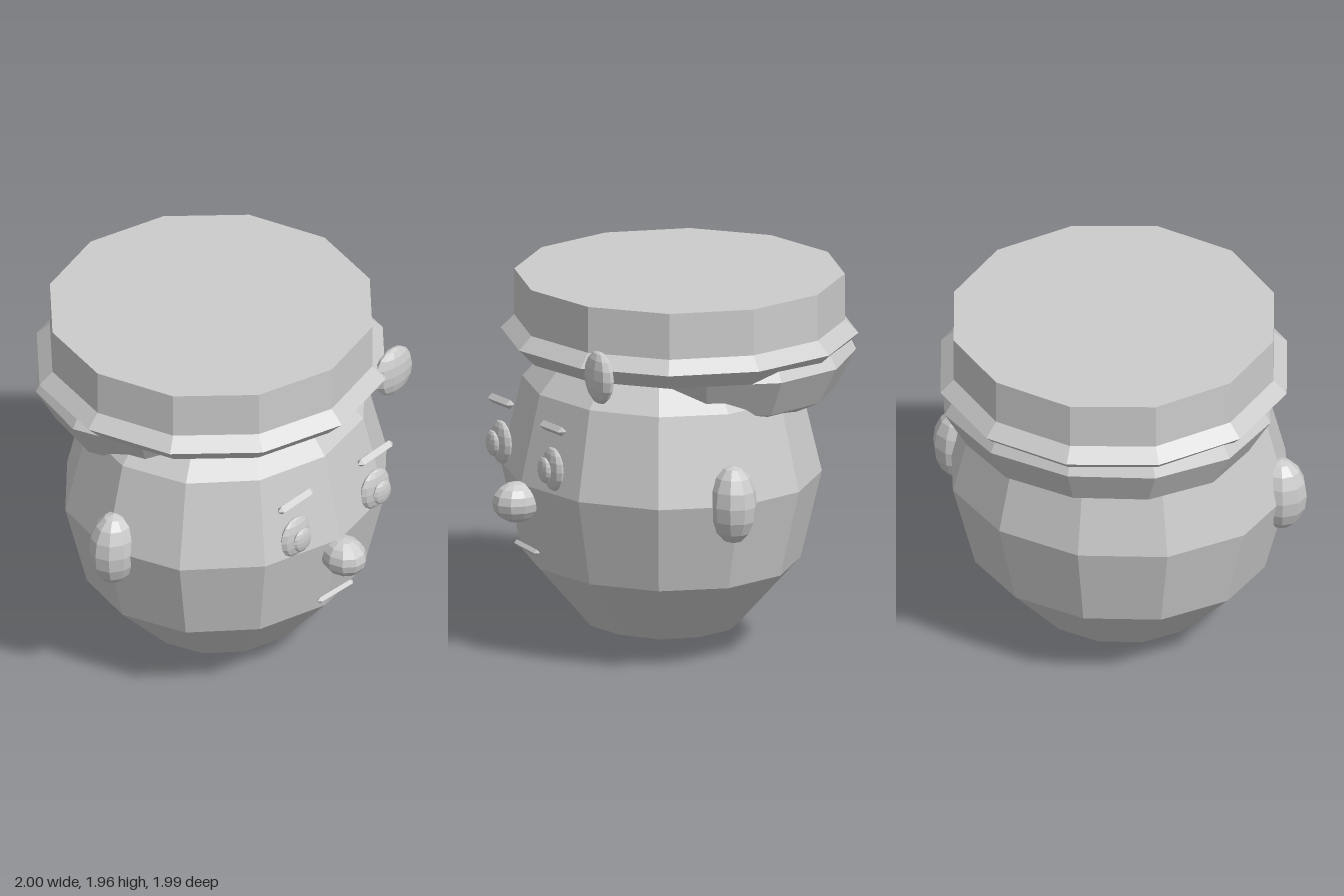
import * as THREE from 'three';

const material = new THREE.MeshStandardMaterial({ color: 0xcccccc, flatShading: true });

export function createModel() {
  const root = new THREE.Group();
  root.name = 'cappedHead';

  const add = (name, geometry, x, y, z) => {
    const mesh = new THREE.Mesh(geometry, material);
    mesh.name = name;
    mesh.position.set(x, y, z);
    root.add(mesh);
    return mesh;
  };

  // Faceted ellipsoid given by its centre and radii
  const ellipsoid = (name, [x, y, z], [rx, ry, rz], around = 10, rows = 8) =>
    add(name, new THREE.SphereGeometry(1, around, rows).scale(rx, ry, rz), x, y, z);

  // Thin four-sided bar with pointed ends, lying along x
  const bar = (name, [x, y, z], radius, length, tilt = 0) => {
    const geometry = new THREE.CapsuleGeometry(radius, length - 2 * radius, 1, 4).rotateZ(Math.PI / 2);
    add(name, geometry, x, y, z).rotation.z = tilt;
  };

  // Head and the hair showing below the back of the hat
  ellipsoid('head', [0, 0.935, 0.035], [0.9, 0.93, 0.81], 12, 6);
  ellipsoid('hair', [0, 1.56, -0.22], [0.88, 0.4, 0.75], 12, 6);

  // Hat crown with a diamond-section brim ring
  add('hatCrown', new THREE.CylinderGeometry(0.855, 0.855, 0.35, 12), 0, 1.79, -0.07);
  add('hatBrim', new THREE.TorusGeometry(0.835, 0.09, 4, 12).rotateX(Math.PI / 2), 0, 1.65, -0.07);
  ellipsoid('hatOrnament', [0.575, 1.625, 0.68], [0.135, 0.14, 0.053]);

  // Paired features
  for (const [side, s] of [['left', 1], ['right', -1]]) {
    ellipsoid(side + 'Ear', [s * 0.86, 0.94, 0.05], [0.14, 0.207, 0.123]);
    ellipsoid(side + 'Eye', [s * 0.3, 1.085, 0.81], [0.106, 0.116, 0.035]);
    ellipsoid(side + 'Pupil', [s * 0.3, 1.085, 0.86], [0.064, 0.068, 0.023]);
    bar(side + 'Eyebrow', [s * 0.3, 1.303, 0.81], 0.025, 0.26, 0.06);
  }

  // Nose and mouth
  ellipsoid('nose', [0, 0.845, 0.87], [0.11, 0.107, 0.13]);
  bar('mouth', [0, 0.592, 0.81], 0.017, 0.265);

  return root;
}
